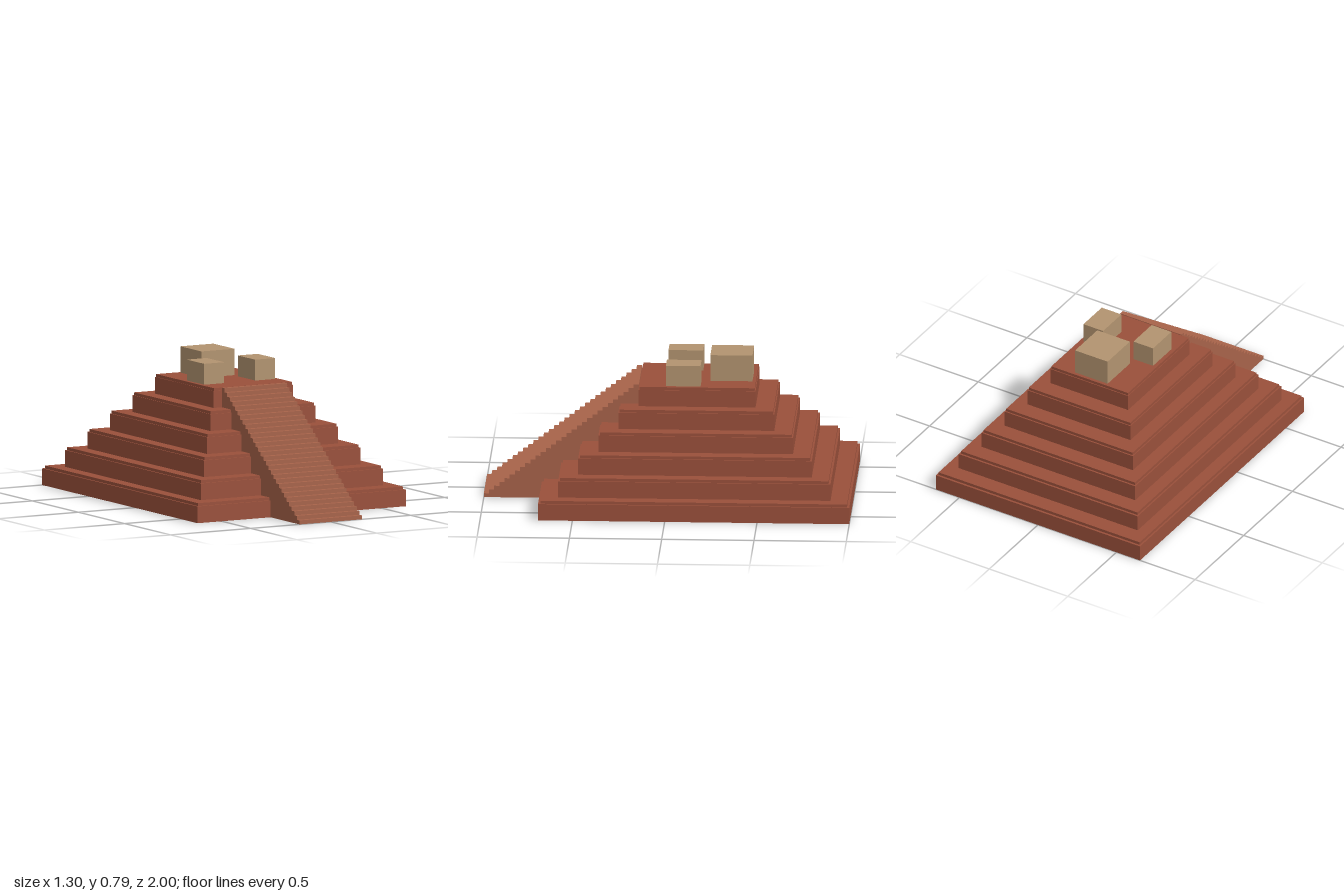
import * as THREE from 'three';

const brick = new THREE.MeshStandardMaterial({ color: 0x9a503b });
const stairBrick = new THREE.MeshStandardMaterial({ color: 0xa8634a });
const sandstone = new THREE.MeshStandardMaterial({ color: 0xb39470 });

const TIERS = 6, TIER_H = 0.1072, LIP_H = 0.016, CENTER_Z = -0.157;
const TOP = TIERS * TIER_H;

// Box standing on height y
function block(name, material, w, h, d, x, y, z) {
  const mesh = new THREE.Mesh(new THREE.BoxGeometry(w, h, d), material);
  mesh.name = name;
  mesh.position.set(x, y + h / 2, z);
  return mesh;
}

// Stepped terraces, each with a slightly inset cap course
function createTerraces() {
  const group = new THREE.Group();
  group.name = 'terraces';
  for (let i = 0; i < TIERS; i++) {
    const w = 2 * (0.65 - 0.0805 * i);
    const d = 2 * (0.843 - 0.1052 * i);
    const y = i * TIER_H, bodyH = TIER_H - LIP_H;
    group.add(block(`terrace${i + 1}`, brick, w, bodyH, d, 0, y, CENTER_Z));
    group.add(block(`terraceCap${i + 1}`, brick, w * 0.985, LIP_H, d * 0.985, 0, y + bodyH, CENTER_Z));
  }
  return group;
}

// Solid staircase: a sawtooth side profile extruded across its width
function createStaircase() {
  const steps = 30, front = 1, back = 0.16, width = 0.39;
  const run = (front - back) / steps, rise = TOP / steps;
  const shape = new THREE.Shape();
  shape.moveTo(-front, 0);
  for (let i = 0; i < steps; i++) {
    shape.lineTo(-front + i * run, (i + 1) * rise);
    shape.lineTo(-front + (i + 1) * run, (i + 1) * rise);
  }
  shape.lineTo(-back, 0);
  shape.closePath();
  const geometry = new THREE.ExtrudeGeometry(shape, { depth: width, bevelEnabled: false });
  geometry.translate(0, 0, -width / 2);
  geometry.rotateY(Math.PI / 2); // profile runs along z
  const mesh = new THREE.Mesh(geometry, stairBrick);
  mesh.name = 'staircase';
  return mesh;
}

// Main shrine at the back, a smaller one on each side in front
function createShrines() {
  const group = new THREE.Group();
  group.name = 'shrines';
  group.add(block('mainShrine', sandstone, 0.207, 0.144, 0.228, 0, TOP, -0.337));
  for (const side of [-1, 1]) {
    const name = side > 0 ? 'leftShrine' : 'rightShrine';
    group.add(block(name, sandstone, 0.125, 0.114, 0.188, side * 0.159, TOP, -0.081));
  }
  return group;
}

export function createModel() {
  const model = new THREE.Group();
  model.name = 'steppedPyramid';
  model.add(createTerraces(), createStaircase(), createShrines());
  return model;
}
